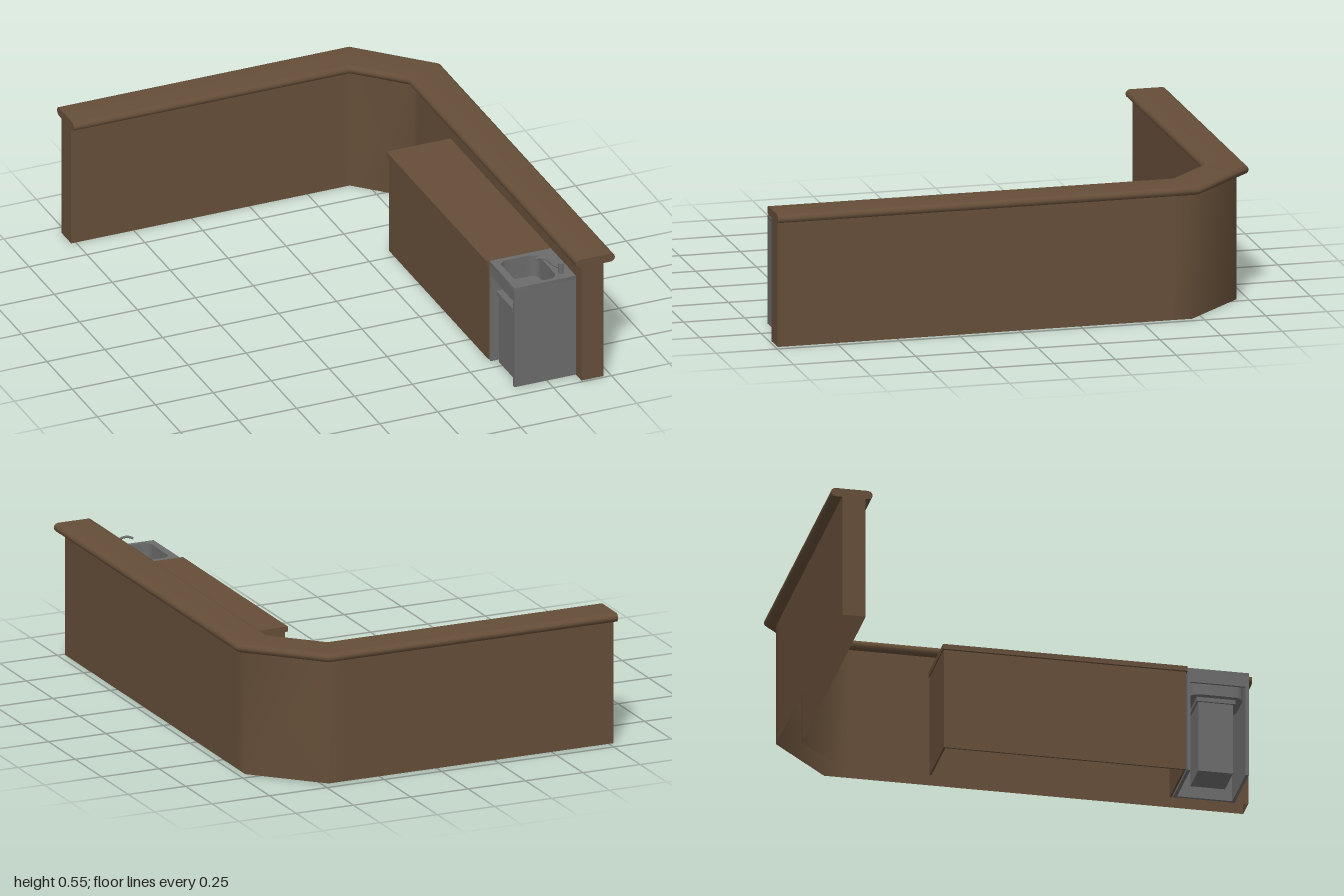
import * as THREE from 'three';
import { toCreasedNormals } from 'three/addons/utils/BufferGeometryUtils.js';

const wood = new THREE.MeshStandardMaterial({ color: 0x654e38, side: THREE.DoubleSide });
wood.name = 'brown wood';
const steel = new THREE.MeshStandardMaterial({ color: 0x6c6c6c, side: THREE.DoubleSide });
steel.name = 'grey steel';

// Sweep a convex profile of [inward offset, y] along a mitred ground path of [x, z].
function sweep(path, profile, closed) {
  const n = profile.length, pos = [], idx = [];
  const normal = (a, b) => {
    const dx = b[0] - a[0], dz = b[1] - a[1], l = Math.hypot(dx, dz);
    return [-dz / l, dx / l];
  };
  path.forEach((p, i) => {
    const a = normal(path[Math.max(i - 1, 0)], path[Math.max(i, 1)]);
    const last = path.length - 1;
    const b = normal(path[Math.min(i, last - 1)], path[Math.min(i + 1, last)]);
    const k = 1 + a[0] * b[0] + a[1] * b[1];
    for (const [d, y] of profile) pos.push(p[0] + d * (a[0] + b[0]) / k, y, p[1] + d * (a[1] + b[1]) / k);
  });
  for (let i = 0; i < path.length - 1; i++) {
    for (let j = 0; j < (closed ? n : n - 1); j++) {
      const k = (j + 1) % n, a = i * n + j, b = a + n, c = (i + 1) * n + k, d = i * n + k;
      idx.push(a, b, c, a, c, d);
    }
  }
  const e = (path.length - 1) * n;
  for (let j = 1; j < n - 1; j++) idx.push(0, j, j + 1, e, e + j + 1, e + j);
  const g = new THREE.BufferGeometry();
  g.setAttribute('position', new THREE.Float32BufferAttribute(pos, 3));
  g.setIndex(idx);
  return toCreasedNormals(g, 1);
}

// Outer edge of the bar, with extra points that keep the long runs flat.
const barPath = (endZ) => [[-0.77, -1], [0.4, -1], [0.49, -1], [0.765, -0.725], [0.765, -0.62], [0.765, endZ]];

function roundedRect(x0, x1, y0, y1, r, Type = THREE.Shape) {
  const s = new Type();
  s.moveTo(x0 + r, y0);
  s.absarc(x1 - r, y0 + r, r, -Math.PI / 2, 0);
  s.absarc(x1 - r, y1 - r, r, 0, Math.PI / 2);
  s.absarc(x0 + r, y1 - r, r, Math.PI / 2, Math.PI);
  s.absarc(x0 + r, y0 + r, r, Math.PI, Math.PI * 1.5);
  return s;
}

export function createModel() {
  const root = new THREE.Group();
  root.name = 'barCounter';
  const add = (name, geometry, material, parent = root) => {
    const m = new THREE.Mesh(geometry, material);
    m.name = name;
    parent.add(m);
    return m;
  };
  const box = (name, x0, x1, y0, y1, z0, z1, material, parent) => {
    const m = add(name, new THREE.BoxGeometry(x1 - x0, y1 - y0, z1 - z0), material, parent);
    m.position.set((x0 + x1) / 2, (y0 + y1) / 2, (z0 + z1) / 2);
    return m;
  };
  // Lay an extruded (x, z) outline flat, with its top at the given height.
  const slab = (name, shape, top, depth, material, parent) => {
    const g = new THREE.ExtrudeGeometry(shape, { depth, bevelEnabled: false, curveSegments: 6 });
    g.rotateX(Math.PI / 2);
    const m = add(name, toCreasedNormals(g, 0.6), material, parent);
    m.position.y = top;
    return m;
  };

  // Hollow bar wall, open underneath
  add('barWall', sweep(barPath(0.99), [[0.14, 0], [0.14, 0.52], [0.045, 0.52], [0.045, 0]], false), wood);

  // Bar top with half-round edges
  const profile = [], r = 0.018, width = 0.168;
  for (const [centre, start] of [[width - r, -Math.PI / 2], [r, Math.PI / 2]]) {
    const inset = centre > r ? -0.004 : 0.004;
    profile.push([centre + inset, 0.532 + r * Math.sin(start)]);
    for (let i = 0; i <= 6; i++) {
      const a = start + i * Math.PI / 6;
      profile.push([centre + r * Math.cos(a), 0.532 + r * Math.sin(a)]);
    }
    profile.push([centre + inset, 0.532 - r * Math.sin(start)]);
  }
  add('barTop', sweep(barPath(1), profile, true), wood);

  // Low cabinet, open underneath, with a thin worktop
  const cabinet = new THREE.Group();
  cabinet.name = 'cabinet';
  root.add(cabinet);
  box('cabinetInnerSide', 0.358, 0.366, 0, 0.43, -0.3, 0.68, wood, cabinet);
  box('cabinetRearEnd', 0.366, 0.625, 0, 0.43, -0.3, -0.292, wood, cabinet);
  box('cabinetFrontEnd', 0.366, 0.625, 0, 0.43, 0.672, 0.68, wood, cabinet);
  box('worktop', 0.348, 0.625, 0.425, 0.446, -0.305, 0.685, wood, cabinet);

  // Sink unit: side panels, apron and a deck cut out for the basin
  const sink = new THREE.Group();
  sink.name = 'sinkUnit';
  root.add(sink);
  box('sinkFrontPanel', 0.36, 0.625, 0, 0.43, 0.922, 0.935, steel, sink);
  box('sinkRearPanel', 0.36, 0.625, 0, 0.43, 0.686, 0.699, steel, sink);
  box('sinkBackPanel', 0.612, 0.624, 0, 0.43, 0.699, 0.922, steel, sink);
  box('sinkApron', 0.36, 0.37, 0.385, 0.43, 0.699, 0.922, steel, sink);
  const deck = roundedRect(0.36, 0.625, 0.686, 0.935, 0.001);
  deck.holes.push(roundedRect(0.39, 0.555, 0.708, 0.918, 0.035, THREE.Path));
  slab('sinkDeck', deck, 0.445, 0.016, steel, sink);
  const rim = roundedRect(0.386, 0.559, 0.704, 0.922, 0.039);
  rim.holes.push(roundedRect(0.39, 0.555, 0.708, 0.918, 0.035, THREE.Path));
  slab('basinWall', rim, 0.43, 0.08, steel, sink);
  slab('basinFloor', roundedRect(0.386, 0.559, 0.704, 0.922, 0.039), 0.352, 0.006, steel, sink);

  // Tap with a curved spout
  const post = add('tapPost', new THREE.CylinderGeometry(0.011, 0.011, 0.045, 16), steel, sink);
  post.position.set(0.58, 0.467, 0.89);
  const spout = new THREE.CatmullRomCurve3([
    [0.578, 0.468, 0.888], [0.555, 0.478, 0.874], [0.535, 0.498, 0.861], [0.515, 0.505, 0.848], [0.495, 0.5, 0.835],
  ].map((p) => new THREE.Vector3(...p)));
  add('tapSpout', new THREE.TubeGeometry(spout, 16, 0.005, 8), steel, sink);

  // Bin tucked under the basin
  const bin = new THREE.Group();
  bin.name = 'bin';
  sink.add(bin);
  box('binBody', 0.38, 0.53, 0.01, 0.31, 0.735, 0.875, steel, bin);
  box('binLid', 0.372, 0.538, 0.31, 0.328, 0.727, 0.883, steel, bin);

  return root;
}
